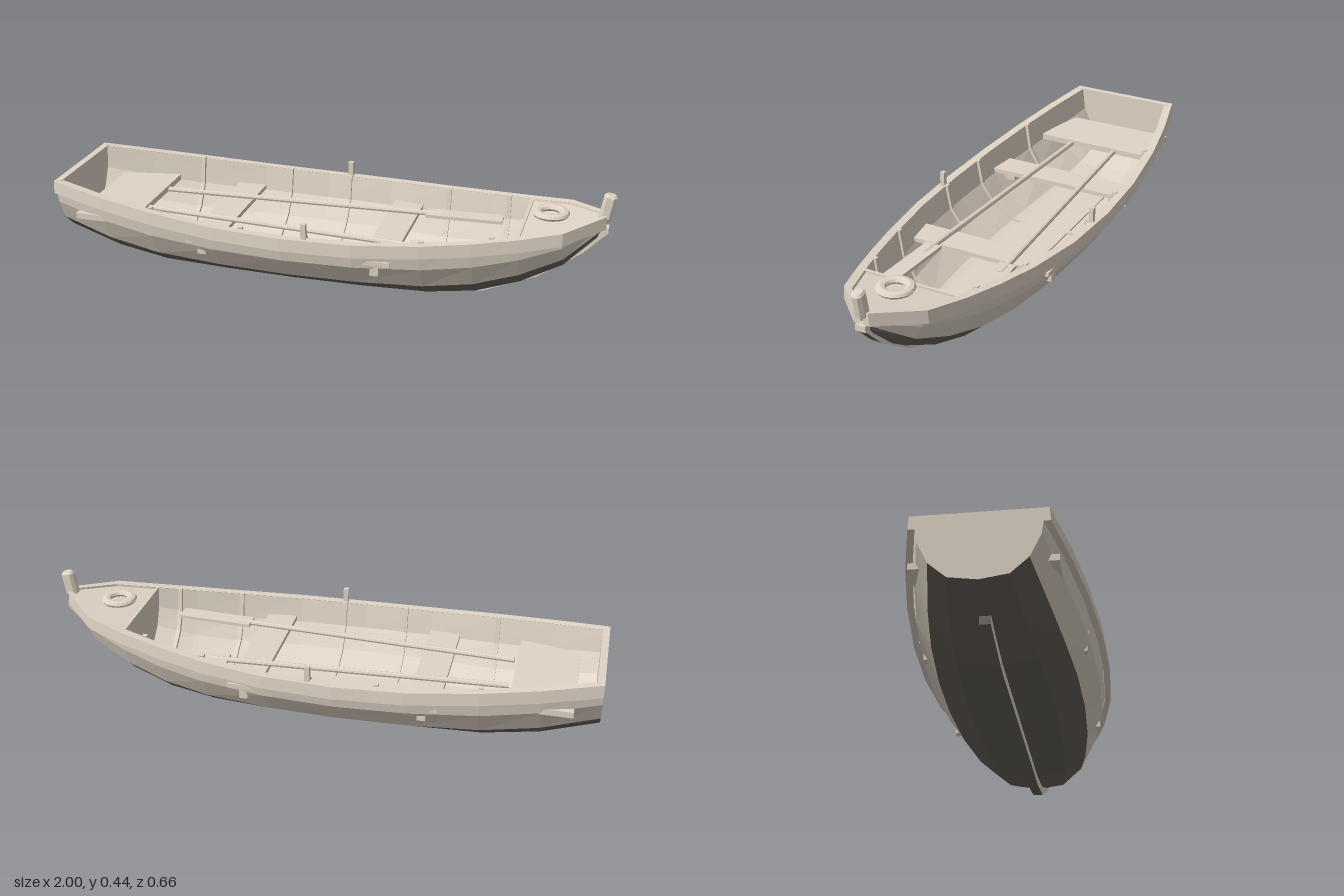
import * as THREE from 'three';

// Hull stations: x, keel height, sheer height, half width
const STATIONS = [
  [-1, 0.11, 0.34, 0.198], [-0.8, 0.055, 0.318, 0.245], [-0.6, 0.03, 0.3, 0.28],
  [-0.35, 0.03, 0.283, 0.307], [-0.1, 0.03, 0.276, 0.315], [0.15, 0.03, 0.278, 0.303],
  [0.38, 0.03, 0.288, 0.268], [0.55, 0.05, 0.302, 0.23], [0.7, 0.1, 0.318, 0.188],
  [0.84, 0.175, 0.338, 0.14], [0.97, 0.3, 0.362, 0.012],
];
// Cross-section as fractions of half width and depth
const SECTION = [[1, 1], [0.94, 0.61], [0.76, 0.285], [0.47, 0.06], [0, 0]];

function stationAt(x) {
  let i = 0;
  while (i < STATIONS.length - 2 && x > STATIONS[i + 1][0]) i++;
  const a = STATIONS[i], b = STATIONS[i + 1];
  const t = (x - a[0]) / (b[0] - a[0]);
  return a.map((v, j) => v + (b[j] - v) * t);
}

// Section points [z, y] from left rail, under the keel, to right rail
function section(x, inset = 0, lift = 0) {
  const [, k, s, w] = stationAt(x);
  const half = Math.max(w - inset, 0.001);
  const left = SECTION.map(([fz, fy]) => [half * fz, k + inset + (s - k - inset) * fy]);
  left[0][1] += lift;
  return [...left, ...left.slice(0, -1).reverse().map(([z, y]) => [-z, y])];
}

// Skin over rings of [x, y, z], running toward +x
function loft(rings, closed) {
  const n = rings[0].length, pos = rings.flat(2), idx = [];
  for (let i = 0; i < rings.length - 1; i++) {
    for (let j = 0; j < (closed ? n : n - 1); j++) {
      const a = i * n + j, b = i * n + (j + 1) % n;
      idx.push(a, b, a + n, b, b + n, a + n);
    }
  }
  if (closed) {
    const e = (rings.length - 1) * n;
    for (let j = 1; j < n - 1; j++) idx.push(0, j + 1, j, e, e + j, e + j + 1);
  }
  const g = new THREE.BufferGeometry();
  g.setAttribute('position', new THREE.Float32BufferAttribute(pos, 3));
  g.setIndex(idx);
  g.computeVertexNormals();
  return g;
}

const shapeOf = (points) => new THREE.Shape(points.map(([x, y]) => new THREE.Vector2(x, y)));

// Plate across the boat, from a [z, y] outline
function crossPlate(points, x, depth) {
  return new THREE.ExtrudeGeometry(shapeOf(points), { depth, bevelEnabled: false })
    .rotateY(Math.PI / 2).translate(x, 0, 0);
}

function material(name, color) {
  const m = new THREE.MeshStandardMaterial({ color, flatShading: true });
  m.name = name;
  return m;
}

export function createModel() {
  const boat = new THREE.Group();
  boat.name = 'rowingBoat';
  const wood = material('paleWood', 0xe0d5c6);
  const dark = material('darkBottomPaint', 0x6a645d);

  const add = (name, geometry, x = 0, y = 0, z = 0, parent = boat, mat = wood) => {
    const mesh = new THREE.Mesh(geometry, mat);
    mesh.name = name;
    mesh.position.set(x, y, z);
    parent.add(mesh);
    return mesh;
  };
  const box = (name, w, h, d, x, y, z, parent) =>
    add(name, new THREE.BoxGeometry(w, h, d), x, y, z, parent);

  // Outer hull, dark below the chine, and pale inner hull
  const xs = STATIONS.map((s) => s[0]);
  const skin = (inset, from = 0, to = 9) =>
    xs.map((x) => section(x, inset).slice(from, to).map(([z, y]) => [x, y, z]));
  add('leftTopside', loft(skin(0, 0, 3), false));
  add('rightTopside', loft(skin(0, 6, 9), false));
  add('hullBottom', loft(skin(0, 2, 7), false), 0, 0, 0, boat, dark);
  add('innerHull', loft(skin(0.02).map((r) => r.reverse()), false));

  // Transom and bow bulkhead
  add('transom', crossPlate(section(-1), -1, 0.025));
  add('bowBulkhead', crossPlate(section(0.7, 0.01), 0.69, 0.01));

  // Rubbing strake and rail on both sides
  for (const side of [1, -1]) {
    const rings = xs.map((x) => {
      const [, , s, w] = stationAt(x);
      const inner = Math.max(w - 0.018, 0);
      const ring = [
        [x, s, w + 0.013], [x, s - 0.046, w + 0.016],
        [x, s - 0.046, Math.max(w - 0.006, 0)], [x, s, inner],
      ].map(([px, py, pz]) => [px, py, pz * side]);
      return side > 0 ? ring : ring.reverse();
    });
    add(side > 0 ? 'leftGunwale' : 'rightGunwale', loft(rings, true));
  }

  // Foredeck
  add('foredeck', loft([0.69, 0.7, 0.84, 0.97].map((x) => {
    const [, , s, w] = stationAt(x);
    const z = Math.max(w - 0.008, 0.002);
    return [[x, s - 0.007, z], [x, s - 0.024, z], [x, s - 0.024, -z], [x, s - 0.007, -z]];
  }), true));

  // Flattened ring on the deck
  const ring = add('deckRing', new THREE.TorusGeometry(0.047, 0.018, 8, 24), 0.78, 0.345, 0);
  ring.rotation.x = Math.PI / 2;
  ring.scale.z = 0.65;

  // Keel and curved stem: pale cheeks, dark underside, pale head
  const keel = shapeOf([
    [-0.86, 0.037], [-0.64, 0.003], [-0.58, 0], [0.4, 0], [0.56, 0.022], [0.75, 0.105],
    [0.9, 0.215], [0.975, 0.295], [0.965, 0.312], [0.94, 0.3], [0.84, 0.2], [0.7, 0.12],
    [0.55, 0.06], [0.38, 0.04], [-0.6, 0.04], [-0.85, 0.075],
  ]);
  add('keel', new THREE.ExtrudeGeometry(keel, { depth: 0.036, bevelEnabled: false }),
    0, 0, -0.018, boat, [wood, dark]);
  box('stemHead', 0.024, 0.022, 0.037, 0.967, 0.306, 0);

  // Bow post: eight-sided, leaning forward, with a chamfered top
  const post = shapeOf([
    [-0.019, -0.009], [-0.01, -0.019], [0.01, -0.019], [0.019, -0.009],
    [0.019, 0.009], [0.01, 0.019], [-0.01, 0.019], [-0.019, 0.009],
  ]);
  const postGeometry = new THREE.ExtrudeGeometry(post, {
    depth: 0.078, bevelThickness: 0.008, bevelSize: 0.006, bevelOffset: -0.006, bevelSegments: 1,
  }).rotateX(-Math.PI / 2).scale(1.2, 1, 1);
  add('bowPost', postGeometry, 0.963, 0.35, 0).rotation.z = -0.17;

  // Ribs following the inside of the hull
  for (const x of [-0.6, -0.25, -0.015, 0.38, 0.61]) {
    const outline = [...section(x, 0.014, 0.005), ...section(x, 0.03, 0.005).reverse()];
    add('rib', crossPlate(outline, x - 0.008, 0.016));
  }

  // Floorboard panel
  const floor = shapeOf([[-0.6, -0.1], [0.4, -0.1], [0.5, -0.03], [0.5, 0.03], [0.4, 0.1], [-0.6, 0.1]]);
  add('floorboards', new THREE.ExtrudeGeometry(floor, { depth: 0.01, bevelEnabled: false })
    .rotateX(-Math.PI / 2), 0, 0.057, 0);

  // Seats, whose ends just break through the planking
  box('sternSeat', 0.22, 0.022, 0.46, -0.8, 0.222, 0);
  for (const x of [-0.405, 0.225]) {
    box('thwart', 0.11, 0.016, 0.564, x, 0.204, 0);
    for (const side of [1, -1]) box('seatBracket', 0.03, 0.034, 0.07, x, 0.171, side * 0.239);
  }

  for (const side of [1, -1]) {
    // Thole pins
    box('tholePin', 0.018, 0.07, 0.017, -0.015, 0.297, side * 0.303);

    // Oars lying on the thwarts
    const oar = new THREE.Group();
    oar.name = side > 0 ? 'leftOar' : 'rightOar';
    oar.position.set(-0.68, 0.226, side * 0.092);
    oar.rotation.y = -side * 0.054;
    add('oarShaft', new THREE.CylinderGeometry(0.01, 0.01, 1.06, 8).rotateZ(Math.PI / 2), 0.53, 0, 0, oar);
    box('oarBlade', 0.28, 0.012, 0.062, 1.137, 0, 0, oar);
    boat.add(oar);
  }

  return boat;
}
